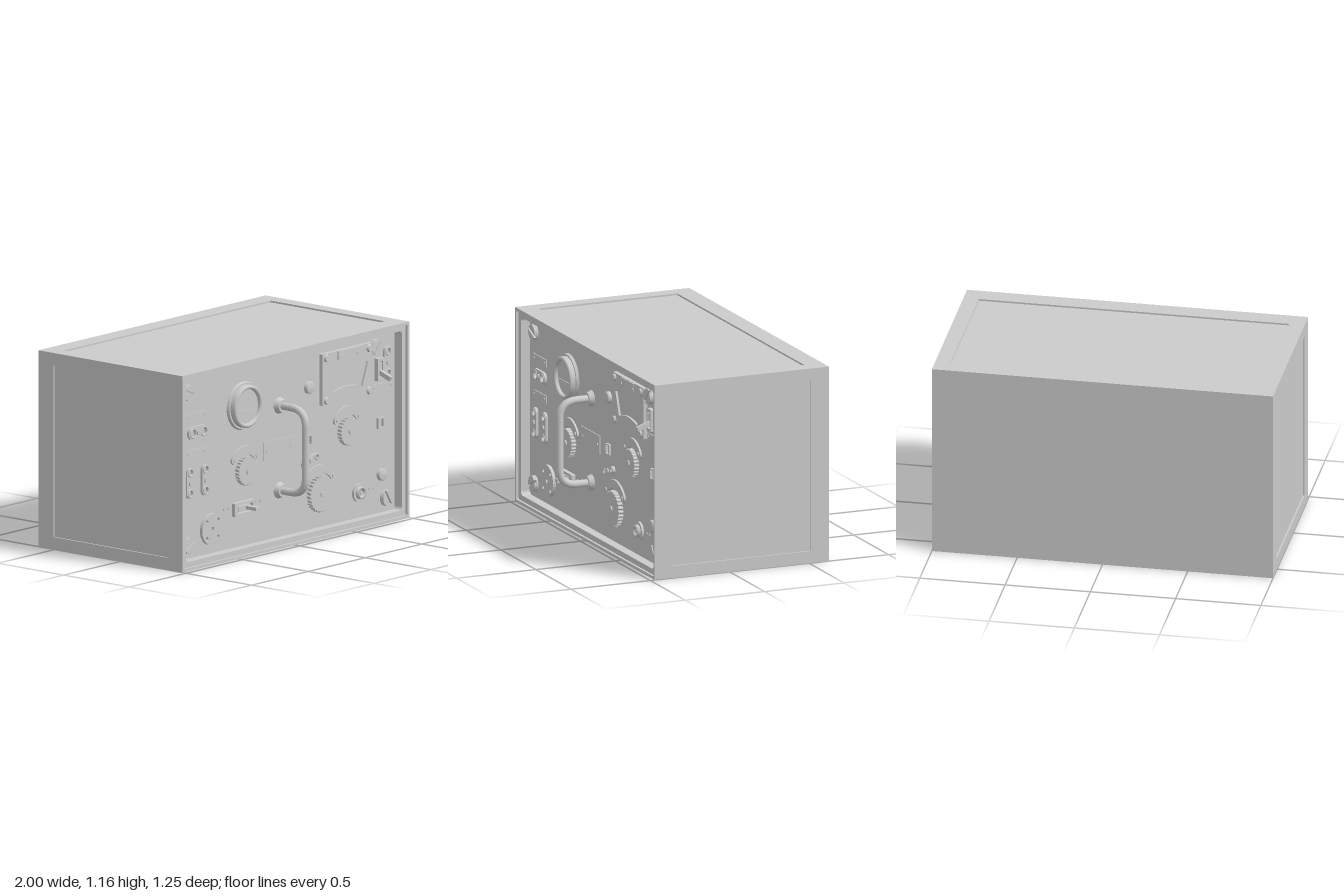
import * as THREE from 'three';

const mat = new THREE.MeshStandardMaterial({ color: 0xcccccc });
const H = 1.157, MID = H / 2, PANEL = 0.4; // cabinet height, its middle, front panel plane
const INSET = 0.01; // depth of the top, bottom and side panels below the rails

export function createModel() {
  const root = new THREE.Group();
  root.name = 'radioCabinet';
  const mesh = (name, geo, x = 0, y = 0, z = 0, parent = root) => {
    const m = new THREE.Mesh(geo, mat);
    m.name = name;
    m.position.set(x, y, z);
    parent.add(m);
    return m;
  };
  const group = (name, x, y, z = PANEL) => {
    const g = new THREE.Group();
    g.name = name;
    g.position.set(x, y, z);
    root.add(g);
    return g;
  };
  const box = (name, w, h, d, x, y, z, p) => mesh(name, new THREE.BoxGeometry(w, h, d), x, y, z, p);
  // disc facing +z whose base sits at z
  const disc = (name, r, d, x, y, z, p, seg = 32, r2 = r) =>
    mesh(name, new THREE.CylinderGeometry(r2, r, d, seg).rotateX(Math.PI / 2), x, y, z + d / 2, p);
  // turned part from [radius, height] pairs, axis along +z
  const turned = (name, pts, x, y, z, p) =>
    mesh(name, new THREE.LatheGeometry(pts.map(([r, h]) => new THREE.Vector2(r, h)), 40).rotateX(Math.PI / 2), x, y, z, p);
  const extrude = (shape, depth) => new THREE.ExtrudeGeometry(shape, { depth, bevelEnabled: false, curveSegments: 16 });
  const roundRect = (w, h, r, T = THREE.Shape) => {
    const s = new T(), a = w / 2 - r, b = h / 2 - r;
    s.absarc(a, b, r, 0, Math.PI / 2);
    s.absarc(-a, b, r, Math.PI / 2, Math.PI);
    s.absarc(-a, -b, r, Math.PI, Math.PI * 1.5);
    s.absarc(a, -b, r, Math.PI * 1.5, Math.PI * 2);
    s.closePath();
    return s;
  };
  const circle = (x, y, r) => new THREE.Path().absarc(x, y, r, 0, Math.PI * 2);
  const ringPlate = (w, h, r, iw, ih, ir) => {
    const s = roundRect(w, h, r);
    s.holes.push(roundRect(iw, ih, ir, THREE.Path));
    return s;
  };

  // cabinet: back slab, slightly inset body, four corner rails, front frame
  box('backPanel', 2, H, 0.115, 0, MID, -0.5675);
  box('insetBody', 2 - INSET * 2, H - INSET * 2, 0.88, 0, MID, -0.075);
  for (const x of [-0.955, 0.955])
    for (const y of [0.036, H - 0.036]) box('cornerRail', 0.09, 0.072, 0.87, x, y, -0.075);
  mesh('frontFrame', extrude(ringPlate(2, H, 0.001, 1.9, H - 0.1, 0.025), 0.097), 0, MID, 0.36);
  mesh('frontRim', extrude(ringPlate(2, H, 0.001, 1.966, H - 0.034, 0.008), 0.015), 0, MID, 0.457);
  box('frontPanel', 1.92, H - 0.08, 0.05, 0, MID, PANEL - 0.025);

  // large slotted panel screws: the head is split by a slot
  const slotScrew = (x, y, turn) => {
    const g = group('slottedScrew', x, y);
    g.rotation.z = turn;
    disc('screwBase', 0.048, 0.01, 0, 0, 0, g);
    for (const s of [0, Math.PI]) {
      const a = 0.16, half = new THREE.Shape().absarc(0, 0, 0.046, a, Math.PI - a);
      half.closePath();
      mesh('screwHead', extrude(half, 0.014), 0, 0, 0.01, g).rotation.z = s;
    }
  };
  slotScrew(-0.875, 1.03, -0.4);
  slotScrew(-0.875, 0.13, 0.5);
  slotScrew(0.87, 0.13, 2.1);
  slotScrew(0.775, 1.035, 0.9);

  // round gauge: flange, raised bezel ring, flat dial face
  const gauge = group('roundGauge', -0.385, 0.875);
  disc('gaugeFlange', 0.142, 0.016, 0, 0, 0, gauge, 48, 0.136);
  turned('gaugeBezel', [[0.126, 0.016], [0.125, 0.042], [0.118, 0.05], [0.108, 0.05], [0.102, 0.042], [0.1, 0.016]], 0, 0, 0, gauge);
  disc('gaugeFace', 0.102, 0.012, 0, 0, 0.016, gauge, 48);
  box('gaugeBar', 0.17, 0.006, 0.006, 0, -0.022, 0.03, gauge);

  // carrying handle
  const path = new THREE.CurvePath(), X = -0.065;
  const v = (y, z) => new THREE.Vector3(X, y, z);
  path.add(new THREE.LineCurve3(v(0.325, PANEL), v(0.325, 0.49)));
  path.add(new THREE.CubicBezierCurve3(v(0.325, 0.49), v(0.325, 0.565), v(0.355, 0.603), v(0.43, 0.603)));
  path.add(new THREE.LineCurve3(v(0.43, 0.603), v(0.72, 0.603)));
  path.add(new THREE.CubicBezierCurve3(v(0.72, 0.603), v(0.795, 0.603), v(0.825, 0.565), v(0.825, 0.49)));
  path.add(new THREE.LineCurve3(v(0.825, 0.49), v(0.825, PANEL)));
  mesh('handle', new THREE.TubeGeometry(path, 80, 0.022, 16));
  for (const y of [0.325, 0.825]) disc('handleFlange', 0.048, 0.03, X, y, PANEL, root, 32, 0.036);

  // flat plates with small rivets at both ends
  const plate = (x, y, w, h, gap) => {
    const g = group('labelPlate', x, y);
    box('plate', w, h, 0.006, 0, 0, 0.003, g);
    for (const s of [-1, 1]) disc('rivet', 0.008, 0.005, s * gap, 0, 0.006, g, 12);
  };
  plate(-0.075, 0.575, 0.265, 0.11, 0.105);
  plate(-0.8, 0.88, 0.185, 0.045, 0.075);
  plate(-0.8, 0.665, 0.185, 0.045, 0.075);
  plate(0.84, 0.793, 0.19, 0.035, 0.075);
  for (const [x, y] of [[-0.55, 0.29], [-0.51, 0.29], [-0.27, 0.29], [-0.23, 0.29], [0.73, 0.205], [0.765, 0.205]])
    disc('smallRivet', 0.008, 0.006, x, y, PANEL, root, 12);

  // terminal strips with two sockets and a centre screw
  const terminal = (x, y, len, wid, turn) => {
    const g = group('terminalStrip', x, y), k = len / 2 - wid / 2, s = roundRect(len, wid, wid / 2 - 0.001);
    g.rotation.z = turn;
    for (const e of [-1, 1]) s.holes.push(circle(e * k, 0, wid * 0.3));
    mesh('strip', extrude(s, 0.015), 0, 0, 0, g);
    for (const e of [-1, 1])
      mesh('socketRing', new THREE.TorusGeometry(wid * 0.34, 0.005, 8, 24), e * k, 0, 0.015, g);
    disc('stripScrew', 0.016, 0.008, 0, 0, 0.015, g, 20);
  };
  terminal(-0.79, 0.785, 0.17, 0.075, 0);
  for (const x of [-0.86, -0.725]) terminal(x, 0.495, 0.185, 0.062, Math.PI / 2);
  terminal(0.878, 0.93, 0.19, 0.062, Math.PI / 2);
  terminal(0.2, 0.458, 0.15, 0.045, 0.3);

  // knurled dials under a curved scale plate
  const dial = (x, y, r, teeth) => {
    const g = group('knurledDial', x, y), s = new THREE.Shape();
    for (let i = 0; i < teeth * 4; i++) {
      const a = (i / (teeth * 4)) * Math.PI * 2, q = i % 4 < 2 ? r : r * 0.93;
      s[i ? 'lineTo' : 'moveTo'](Math.cos(a) * q, Math.sin(a) * q);
    }
    s.closePath();
    mesh('dialWheel', extrude(s, 0.03), 0, 0, 0, g);
    disc('dialHub', 0.018, 0.008, 0, 0, 0.03, g, 20);
    const arc = new THREE.Shape(), a0 = 0.66, a1 = Math.PI - a0, ri = r * 1.13, ro = r + 0.063, m = (ri + ro) / 2, e = (ro - ri) / 2;
    arc.absarc(0, 0, ro, a0, a1);
    arc.absarc(Math.cos(a1) * m, Math.sin(a1) * m, e, a1, a1 + Math.PI);
    arc.absarc(0, 0, ri, a1, a0, true);
    arc.absarc(Math.cos(a0) * m, Math.sin(a0) * m, e, a0 + Math.PI, a0 + Math.PI * 2);
    mesh('scalePlate', extrude(arc, 0.012), 0, 0, 0, g);
    for (const a of [a0, a1]) disc('scaleScrew', 0.012, 0.006, Math.cos(a) * m, Math.sin(a) * m, 0.012, g, 16);
  };
  dial(-0.37, 0.49, 0.085, 24);
  dial(0.53, 0.58, 0.085, 24);
  dial(0.283, 0.25, 0.108, 28);

  // meter with fan-shaped window
  const meter = group('meter', 0.51, 0.918);
  const face = roundRect(0.44, 0.305, 0.005), win = new THREE.Path();
  win.moveTo(-0.18, 0.045);
  win.quadraticCurveTo(0, 0.11, 0.18, 0.045);
  win.lineTo(0.13, -0.09);
  win.quadraticCurveTo(0, -0.045, -0.13, -0.09);
  win.closePath();
  face.holes.push(win);
  mesh('meterFace', extrude(face, 0.025), 0, 0, 0, meter);
  box('meterScale', 0.38, 0.25, 0.012, 0, 0, 0.006, meter);
  box('meterTopPlate', 0.18, 0.05, 0.006, 0, 0.125, 0.028, meter);
  for (const x of [-0.188, 0.188])
    for (const y of [-0.125, 0.125]) disc('meterScrew', 0.023, 0.012, x, y, 0.025, meter, 24, 0.018);
  for (const x of [-0.08, 0.08]) disc('plateScrew', 0.008, 0.005, x, 0.115, 0.031, meter, 12);

  // framed lever switches
  const leverSwitch = (x, y, w, h, turn) => {
    const g = group('leverSwitch', x, y);
    g.rotation.z = turn;
    mesh('switchFrame', extrude(ringPlate(w, h, 0.006, w * 0.72, h * 0.6, 0.004), 0.025), 0, 0, 0, g);
    box('switchSlide', w * 0.6, h * 0.4, 0.02, 0, 0, 0.01, g);
    return g;
  };
  const flat = leverSwitch(-0.39, 0.275, 0.18, 0.08, 0);
  box('switchLever', 0.035, 0.02, 0.095, 0.03, 0, 0.047, flat);
  const upright = leverSwitch(0.805, 0.9, 0.135, 0.058, Math.PI / 2);
  box('switchLever', 0.028, 0.02, 0.1, -0.03, 0, 0.05, upright).rotation.y = -0.35;

  // small square windows
  for (const x of [0.185, 0.82])
    mesh('squareWindow', extrude(ringPlate(0.052, 0.066, 0.004, 0.036, 0.05, 0.002), 0.014), x, 0.58, PANEL);

  // small round buttons, jack and multi-pin socket
  for (const [x, y] of [[0.19, 0.89], [0.828, 0.275]])
    turned('button', [[0.036, 0], [0.036, 0.018], [0.03, 0.025], [0, 0.026]], x, y, PANEL);
  disc('jackBase', 0.054, 0.014, 0.63, 0.2, PANEL);
  turned('jack', [[0.038, 0.014], [0.036, 0.032], [0.024, 0.034], [0.02, 0.015]], 0.63, 0.2, PANEL);
  disc('jackPin', 0.011, 0.028, 0.63, 0.2, PANEL, root, 16);
  const sock = new THREE.Shape().absarc(0, 0, 0.092, 0, Math.PI * 2);
  for (let i = 0; i < 4; i++) {
    const a = Math.PI * (0.25 + i / 2);
    sock.holes.push(circle(Math.cos(a) * 0.07, Math.sin(a) * 0.07, 0.011));
  }
  sock.holes.push(circle(0, 0, 0.013));
  mesh('multiPinSocket', extrude(sock, 0.018), -0.67, 0.195, PANEL);

  return root;
}
